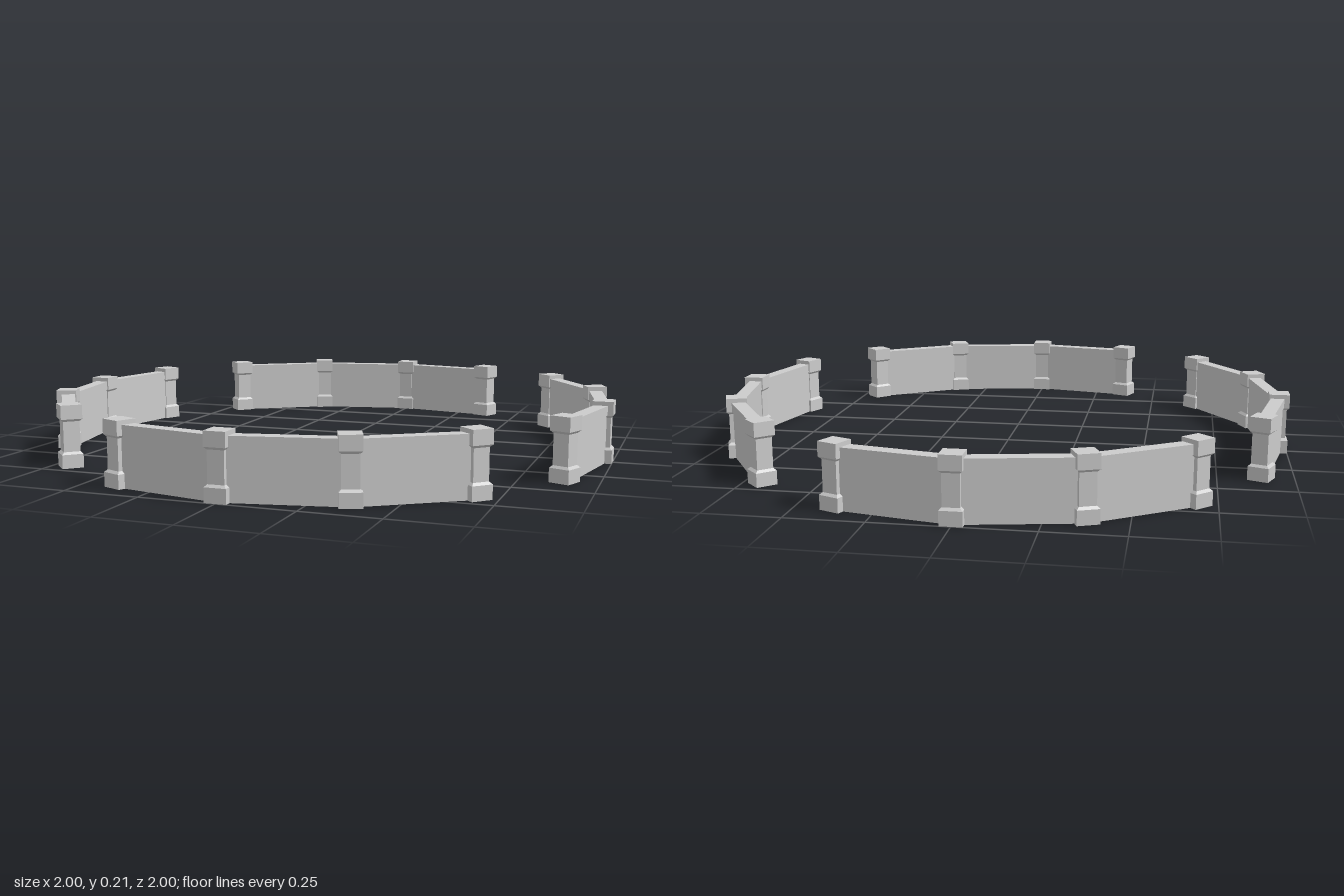
import * as THREE from 'three';

const SIDES = 16;
const RADIUS = 0.965;
const STEP = (Math.PI * 2) / SIDES;

export function createModel() {
  const group = new THREE.Group();
  group.name = 'ringWall';
  const material = new THREE.MeshStandardMaterial({ color: 0xcccccc, flatShading: true });

  // Square post: wide base, narrower shaft and wide cap (half width, height)
  const profile = [
    [0, 0], [0.035, 0], [0.035, 0.046], [0.027, 0.054],
    [0.027, 0.155], [0.035, 0.163], [0.035, 0.21], [0, 0.21],
  ].map(([w, y]) => new THREE.Vector2(w * Math.SQRT2, y));
  const postGeometry = new THREE.LatheGeometry(profile, 4, Math.PI / 4);

  // Straight panel between two posts, with a slightly wider coping on top
  const chord = 2 * RADIUS * Math.sin(STEP / 2);
  const wallGeometry = new THREE.BoxGeometry(chord, 0.165, 0.036).translate(0, 0.0825, 0);
  const copingGeometry = new THREE.BoxGeometry(chord, 0.032, 0.046).translate(0, 0.18, 0);

  const place = (object, name, angle, radius) => {
    object.name = name;
    object.position.set(Math.sin(angle) * radius, 0, Math.cos(angle) * radius);
    object.rotation.y = angle;
    group.add(object);
  };

  for (let i = 0; i < SIDES; i++) {
    place(new THREE.Mesh(postGeometry, material), 'post', i * STEP, RADIUS);

    // Every fourth bay is left open as a gateway
    if (i % 4 === 2) continue;
    const panel = new THREE.Group();
    const wall = new THREE.Mesh(wallGeometry, material);
    wall.name = 'wall';
    const coping = new THREE.Mesh(copingGeometry, material);
    coping.name = 'coping';
    panel.add(wall, coping);
    place(panel, 'wallPanel', (i + 0.5) * STEP, RADIUS * Math.cos(STEP / 2));
  }
  return group;
}
